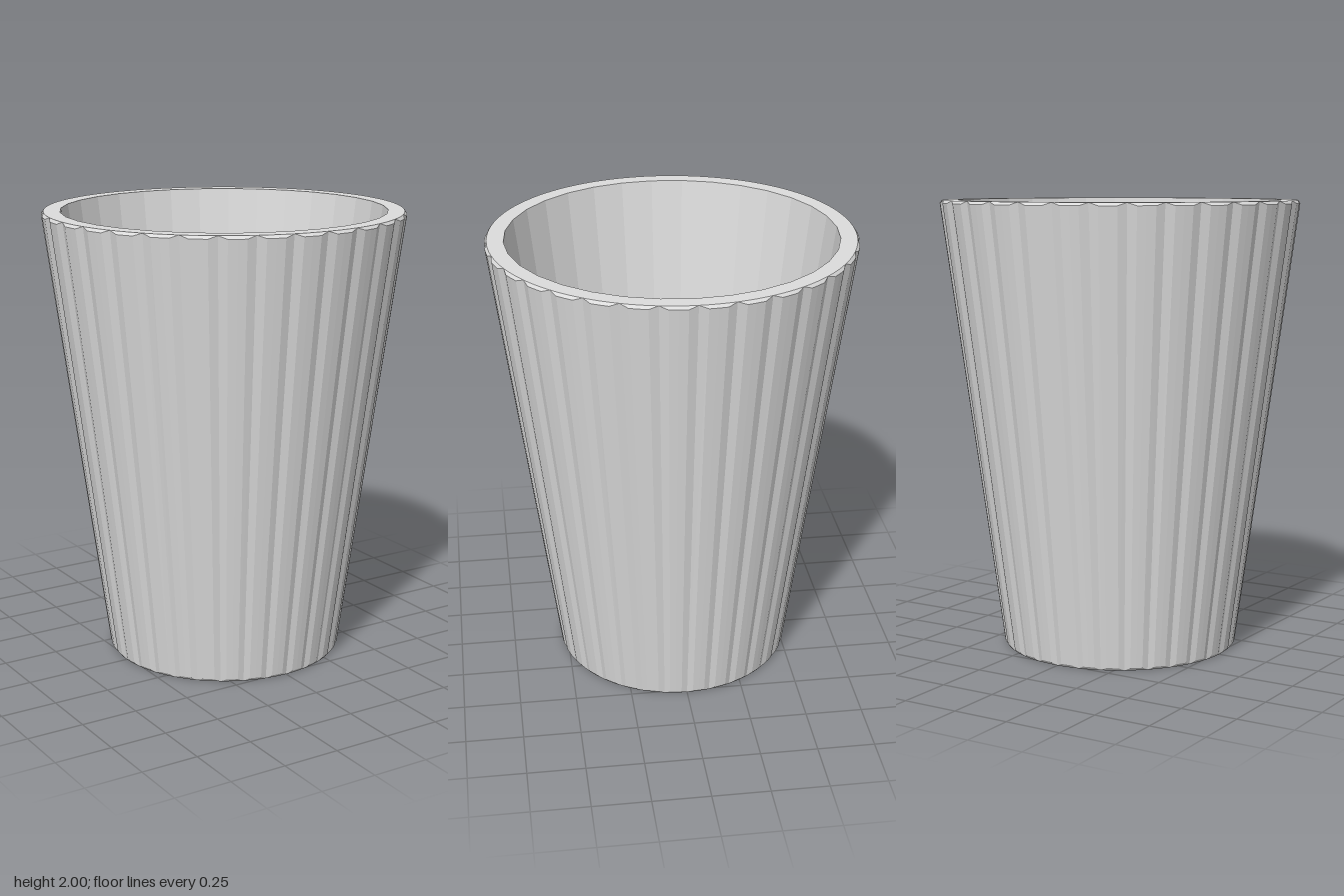
import * as THREE from 'three';

const RIBS = 32, STEPS = 4, N = RIBS * STEPS;
const RELIEF = [0, 1, 1, 1]; // narrow groove, then a broad rib

// A ring of points from rules for radius and height, given rib relief and position
function ring(radius, height) {
  const points = [];
  for (let i = 0; i < N; i++) {
    const a = (i / N) * Math.PI * 2;
    const f = RELIEF[i % STEPS];
    const r = radius(f, i % STEPS);
    points.push([Math.sin(a) * r, height(f), Math.cos(a) * r]);
  }
  return points;
}

const circle = (r, y) => ring(() => r, () => y);

// Ring with 32 straight sides
const facetRing = (r, y) => ring((f, k) => {
  const half = Math.PI / RIBS;
  return (r * Math.cos(half)) / Math.cos((k / STEPS - 0.5) * 2 * half);
}, () => y);

// Skin consecutive rings with flat faces
function loft(name, rings, material) {
  const pos = [];
  for (let k = 0; k < rings.length - 1; k++) {
    for (let i = 0; i < N; i++) {
      const j = (i + 1) % N;
      const a = rings[k][i], b = rings[k][j];
      const c = rings[k + 1][j], d = rings[k + 1][i];
      pos.push(...a, ...b, ...c, ...a, ...c, ...d);
    }
  }
  const geo = new THREE.BufferGeometry();
  geo.setAttribute('position', new THREE.Float32BufferAttribute(pos, 3));
  geo.computeVertexNormals();
  const mesh = new THREE.Mesh(geo, material);
  mesh.name = name;
  return mesh;
}

export function createModel() {
  const group = new THREE.Group();
  group.name = 'cup';

  const paper = new THREE.MeshStandardMaterial({ color: 0xdddddd });
  paper.name = 'cup white';
  const coffee = new THREE.MeshStandardMaterial({ color: 0x382410 });
  coffee.name = 'coffee brown';

  const bottom = circle(0.517, 0);
  const top = circle(0.785, 2);
  const innerTop = facetRing(0.714, 2);
  const innerFloor = facetRing(0.46, 0.08);

  // Ribbed wall with small bevels at both ends
  group.add(loft('ribbedWall', [
    bottom,
    ring((f) => 0.517 + 0.01 * f, (f) => 0.013 * f),
    ring((f) => 0.785 + 0.01 * f, (f) => 2 - 0.013 * f),
    top,
  ], paper));

  group.add(loft('rim', [top, innerTop], paper));
  group.add(loft('innerWall', [innerTop, innerFloor], paper));
  group.add(loft('innerFloor', [innerFloor, circle(0, 0.08)], paper));
  group.add(loft('base', [circle(0, 0), bottom], paper));

  // Drink surface
  group.add(loft('coffeeSurface', [facetRing(0.532, 0.61), circle(0, 0.61)], coffee));

  return group;
}
